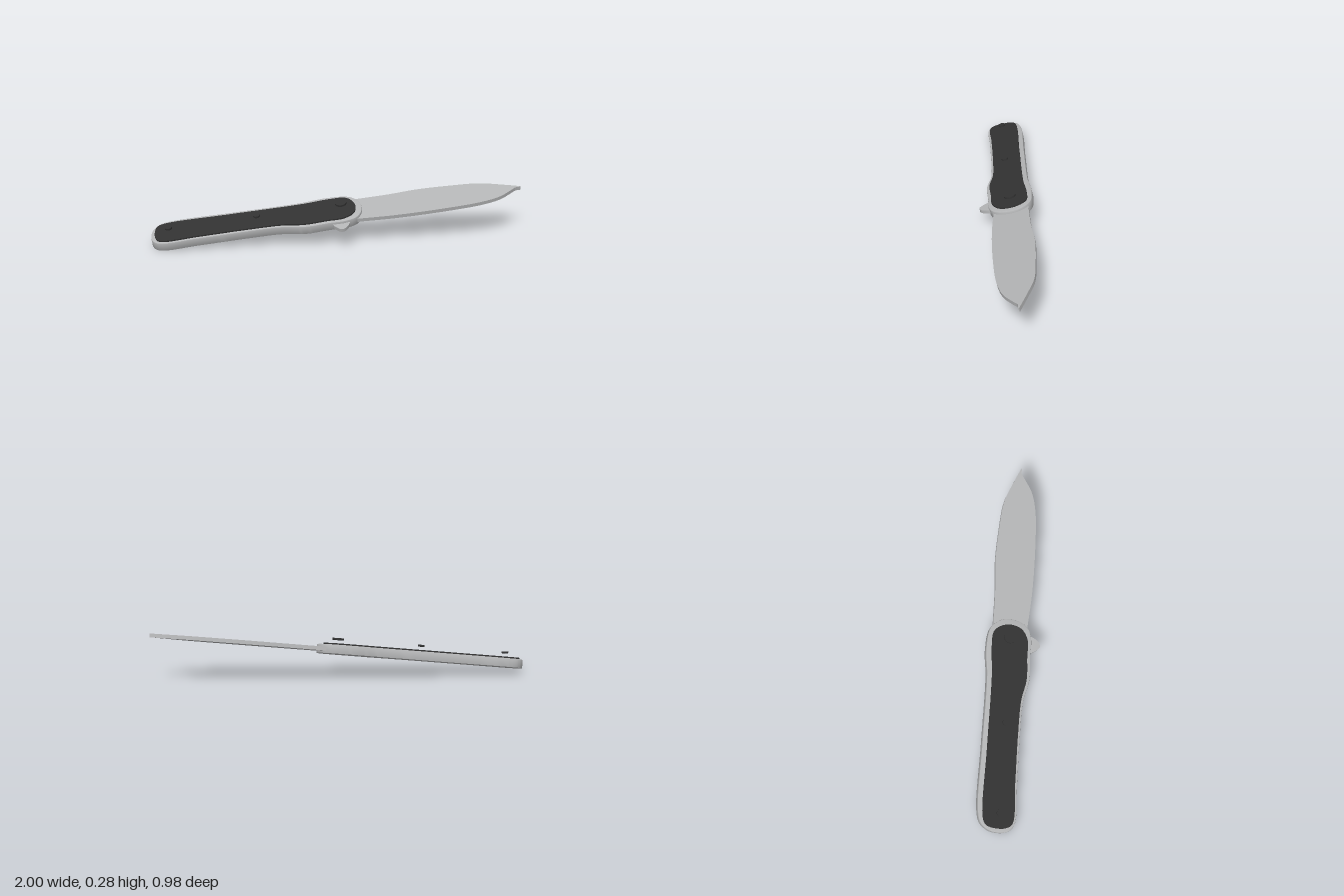
import * as THREE from 'three';
import { toCreasedNormals } from 'three/addons/utils/BufferGeometryUtils.js';

const TILT = 0.25; // the whole knife leans about the x axis

// Ground-plan point (x, z) seen at height h above the knife's base plane -> shape point
const plan = (h) => ([x, z]) =>
  new THREE.Vector3(x, -(z - h * Math.sin(TILT)) / Math.cos(TILT), 0);

// Smooth curve through plan points
const smooth = (pts, h, closed, n) =>
  new THREE.CatmullRomCurve3(pts.map(plan(h)), closed, 'centripetal')
    .getPoints(n).map((p) => new THREE.Vector2(p.x, p.y));

// Flat plate from an outline, between heights y0 and y1
function plate(name, outline, y0, y1, material, bevel = 0) {
  const geometry = new THREE.ExtrudeGeometry(new THREE.Shape(outline), {
    depth: y1 - y0 - 2 * bevel,
    bevelEnabled: bevel > 0,
    bevelThickness: bevel, bevelSize: bevel, bevelOffset: -bevel, bevelSegments: 2,
  });
  geometry.translate(0, 0, y0 + bevel);
  geometry.rotateX(-Math.PI / 2);
  const mesh = new THREE.Mesh(toCreasedNormals(geometry, 0.5), material);
  mesh.name = name;
  return mesh;
}

export function createModel() {
  const steel = new THREE.MeshStandardMaterial({ name: 'steel', color: 0xb4b5b6 });
  const grip = new THREE.MeshStandardMaterial({ name: 'dark grip', color: 0x323232 });

  const knife = new THREE.Group();
  knife.name = 'foldingKnife';

  // Handle frame
  const handle = [
    [-0.93, 0.27], [-0.6, 0.118], [-0.235, -0.05], [-0.1, -0.128], [0.03, -0.166],
    [0.11, -0.125], [0.145, -0.05], [0.137, 0.02], [0.085, 0.07], [0, 0.108],
    [-0.13, 0.172], [-0.26, 0.2], [-0.45, 0.28], [-0.7, 0.396], [-0.9, 0.486],
    [-0.955, 0.468], [-0.995, 0.39], [-0.985, 0.32],
  ];
  knife.add(plate('handleFrame', smooth(handle, 0.053, true, 140), 0, 0.053, steel, 0.005));

  // Dark inlay on the upper face
  const inlay = [
    [-0.945, 0.31], [-0.6, 0.15], [-0.21, -0.03], [-0.075, -0.105], [0.02, -0.137],
    [0.09, -0.09], [0.11, -0.01], [0.07, 0.053], [-0.02, 0.098], [-0.14, 0.158],
    [-0.26, 0.187], [-0.45, 0.267], [-0.7, 0.383], [-0.9, 0.474], [-0.94, 0.455],
    [-0.975, 0.39], [-0.978, 0.345],
  ];
  knife.add(plate('gripInlay', smooth(inlay, 0.0615, true, 140), 0.045, 0.0615, grip));

  // Blade: spine out to the tip, then the cutting edge back to the heel
  const spine = [
    [0.05, -0.165], [0.245, -0.257], [0.405, -0.342], [0.59, -0.417],
    [0.755, -0.472], [0.89, -0.483], [1, -0.487],
  ];
  const edge = [
    [1, -0.482], [0.972, -0.468], [0.95, -0.433], [0.9, -0.36], [0.81, -0.288],
    [0.62, -0.187], [0.35, -0.065], [0.135, 0.015],
  ];
  const blade = [
    ...smooth(spine, 0.037, false, 40),
    ...smooth(edge, 0.037, false, 40),
    ...smooth([[0.03, 0], [0, -0.08]], 0.037, false, 1),
  ];
  knife.add(plate('blade', blade, 0.015, 0.037, steel));

  // Opening tab below the pivot
  const tab = [
    [0.01, 0.05], [0.015, 0.094], [0.05, 0.12], [0.08, 0.129], [0.102, 0.108], [0.1, 0.04],
  ];
  knife.add(plate('openingTab', smooth(tab, 0.038, true, 40), 0.018, 0.038, steel));

  // Pivot cap and two pin caps, standing proud of the inlay
  const caps = [
    ['pivotCap', 0.02, -0.037, 0.034],
    ['middlePin', -0.425, 0.177, 0.02],
    ['endPin', -0.888, 0.39, 0.02],
  ];
  for (const [name, x, z, radius] of caps) {
    const cap = new THREE.Mesh(new THREE.CylinderGeometry(radius, radius, 0.011, 32), grip);
    cap.name = name;
    const p = plan(0.089)([x, z]);
    cap.position.set(p.x, 0.089, -p.y);
    knife.add(cap);
  }

  // Lean the knife so its blade rises toward the back
  knife.rotation.x = TILT;
  knife.position.y = 0.126;

  const model = new THREE.Group();
  model.name = 'model';
  model.add(knife);
  return model;
}
